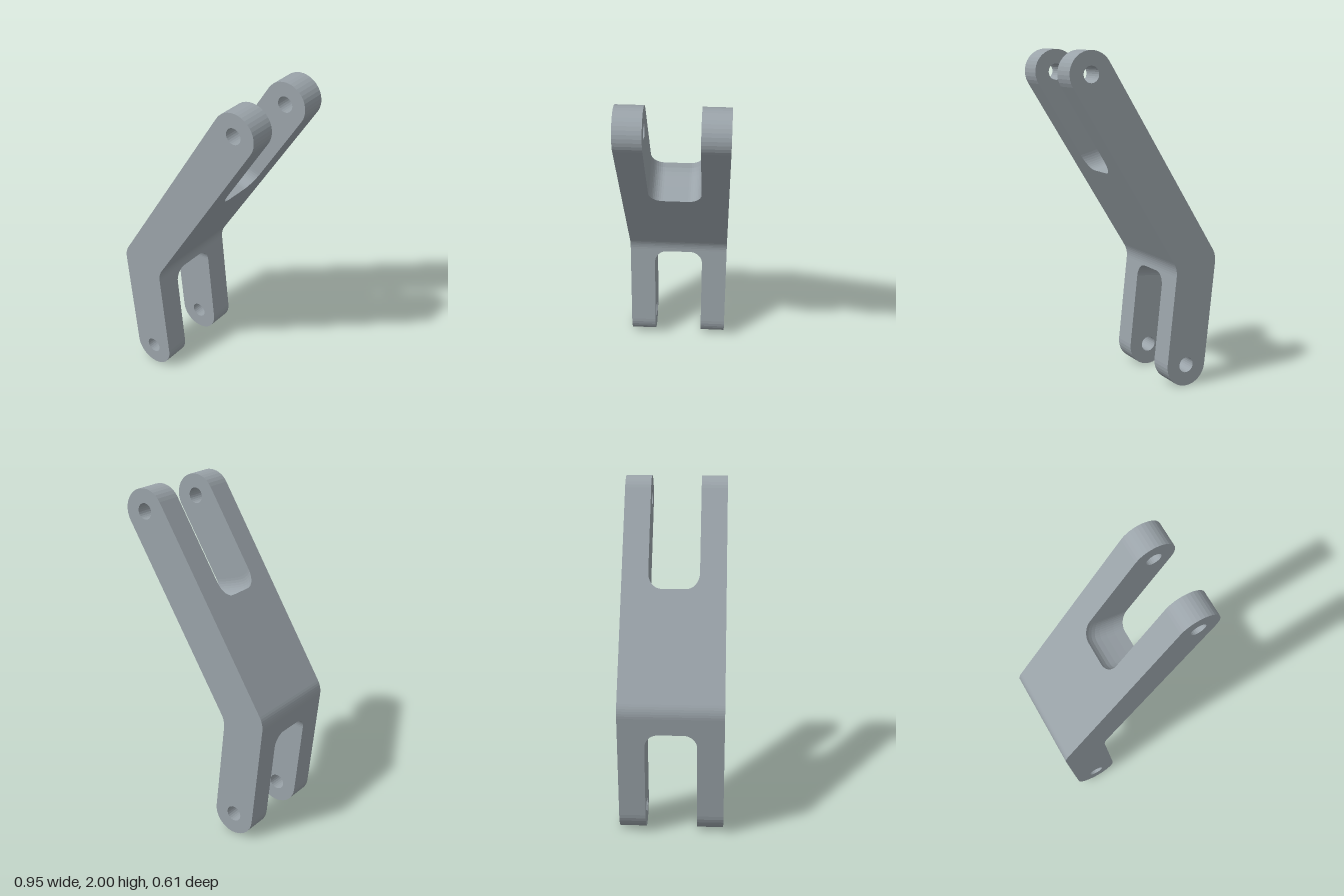
import * as THREE from 'three';

const R = 0.13;                       // half width of the arms
const HALF_SLOT = 0.15, HALF_DEPTH = 0.305;
const V = (x, y) => new THREE.Vector2(x, y);
const topPivot = V(0.345, 1.87), bend = V(-0.346, 0.757), lowPivot = V(-0.28, 0.13);

// arm directions away from the bend, and angle of each arm's right-hand normal
const up = topPivot.clone().sub(bend).normalize();
const down = lowPivot.clone().sub(bend).normalize();
const upAng = Math.atan2(-up.x, up.y);
const lowAng = Math.atan2(down.x, -down.y);
const upSide = V(Math.cos(upAng), Math.sin(upAng));
const lowSide = V(Math.cos(lowAng), Math.sin(lowAng));

function arc(c, r, a0, a1, n) {
  return Array.from({ length: n + 1 }, (_, i) => {
    const a = a0 + (a1 - a0) * i / n;
    return V(c.x + r * Math.cos(a), c.y + r * Math.sin(a));
  });
}
// point at distance a along an arm and n across it
const along = (dir, side, a, n) => bend.clone().addScaledVector(dir, a).addScaledVector(side, n);

// rounded inner and outer sides of the bend
const mid = (upAng + lowAng) / 2;
const reach = 2 * R / Math.cos((lowAng - upAng) / 2);
const innerCentre = V(bend.x + reach * Math.cos(mid), bend.y + reach * Math.sin(mid));
const innerBend = arc(innerCentre, R, Math.PI + lowAng, Math.PI + upAng, 6);
const outerBend = arc(bend, R, Math.PI + upAng, Math.PI + lowAng, 6);

// full-length side plate with two pin holes
function sidePlateGeometry() {
  const shape = new THREE.Shape([
    ...arc(lowPivot, R, Math.PI + lowAng, 2 * Math.PI + lowAng, 18),
    ...innerBend,
    ...arc(topPivot, R, upAng, Math.PI + upAng, 18),
    ...outerBend,
  ]);
  for (const p of [topPivot, lowPivot]) {
    shape.holes.push(new THREE.Path(arc(p, 0.047, 2 * Math.PI, 0, 24).slice(0, -1)));
  }
  return new THREE.ExtrudeGeometry(shape, { depth: HALF_DEPTH - HALF_SLOT, bevelEnabled: false });
}

// web between the plates: slot floors rise into the plates with rounded corners
const upperFloor = [[0.709, 0.13], [0.69, 0.07], [0.676, 0.02], [0.666, -0.02],
  [0.66, -0.054], [0.661, -0.08], [0.667, -0.105], [0.68, -0.13]];
function webSection(t) {
  const rise = 1 - Math.sqrt(Math.max(0, 1 - t * t));
  return [
    along(down, lowSide, 0.1 + 0.08 * rise, -R),
    along(down, lowSide, 0.1 + 0.08 * rise, R),
    ...innerBend,
    ...upperFloor.map(([a, n]) => along(up, upSide, a + 0.1 * rise, n)),
    ...outerBend,
  ];
}
function webGeometry() {
  const fillet = 0.078, steps = 10, rings = [];
  for (let i = 0; i <= steps; i++) {
    const t = Math.cos(i / steps * Math.PI / 2);
    rings.push({ z: -(HALF_SLOT - fillet) - fillet * Math.sin(Math.acos(t) * -1 + Math.PI / 2), t });
  }
  const all = [...rings, ...rings.slice().reverse().map(r => ({ z: -r.z, t: r.t }))];
  const pos = [], idx = [];
  let n = 0;
  for (const { z, t } of all) {
    const pts = webSection(t);
    n = pts.length;
    for (const p of pts) pos.push(p.x, p.y, z);
  }
  for (let k = 0; k < all.length - 1; k++) {
    for (let i = 0; i < n; i++) {
      const a = k * n + i, b = k * n + (i + 1) % n;
      idx.push(a, b, b + n, a, b + n, a + n);
    }
  }
  const g = new THREE.BufferGeometry();
  g.setAttribute('position', new THREE.Float32BufferAttribute(pos, 3));
  g.setIndex(idx);
  const flat = g.toNonIndexed();
  flat.computeVertexNormals();
  return flat;
}

export function createModel() {
  const model = new THREE.Group();
  model.name = 'bentLinkArm';
  const metal = new THREE.MeshStandardMaterial({ color: 0x9aa3a9 });
  metal.name = 'grey metal';

  const plate = sidePlateGeometry();
  for (const [name, z] of [['frontSidePlate', HALF_SLOT], ['backSidePlate', -HALF_DEPTH]]) {
    const mesh = new THREE.Mesh(plate, metal);
    mesh.name = name;
    mesh.position.z = z;
    model.add(mesh);
  }
  const web = new THREE.Mesh(webGeometry(), metal);
  web.name = 'centreWeb';
  model.add(web);
  return model;
}
